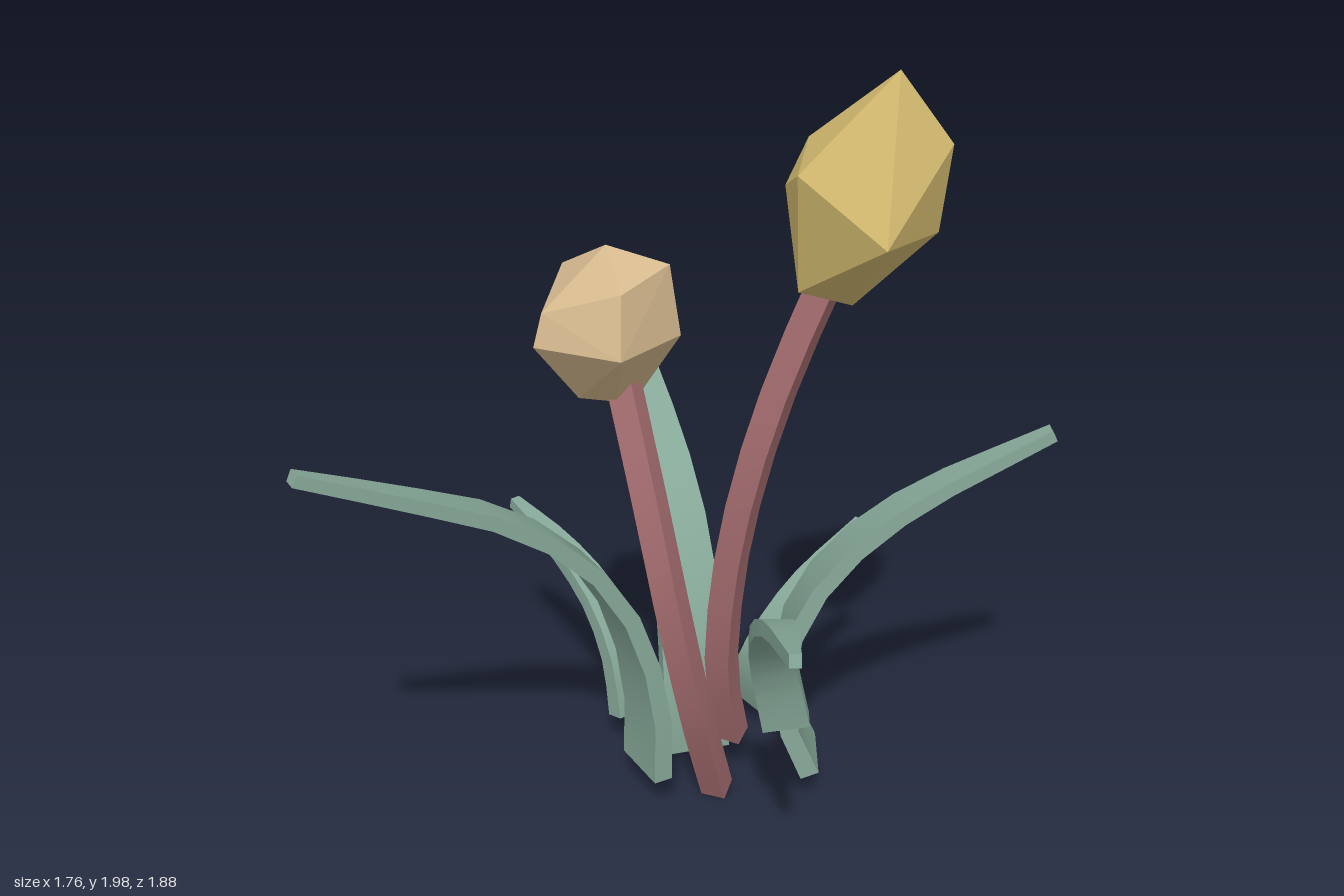
import * as THREE from 'three';
import { toCreasedNormals } from 'three/addons/utils/BufferGeometryUtils.js';
import { ConvexGeometry } from 'three/addons/geometries/ConvexGeometry.js';

const paint = (color) => new THREE.MeshStandardMaterial({ color });
const green = paint(0x86a898);
const red = paint(0xa86f72);
const vec = (p) => new THREE.Vector3(...p);

// Sweeps a rectangle along a curve; size(t) gives [width, thickness]
function strip(points, sideStart, sideEnd, size, steps = 9) {
  const curve = new THREE.CatmullRomCurve3(points.map(vec));
  const pos = [], index = [];
  for (let i = 0; i <= steps; i++) {
    const t = i / steps;
    const centre = curve.getPointAt(t), tangent = curve.getTangentAt(t);
    const side = vec(sideStart).normalize().lerp(vec(sideEnd).normalize(), t);
    side.addScaledVector(tangent, -side.dot(tangent)).normalize();
    const up = tangent.clone().cross(side);
    const [w, h] = size(t);
    for (const [a, b] of [[-1, -1], [1, -1], [1, 1], [-1, 1]]) {
      const p = centre.clone().addScaledVector(side, a * w / 2).addScaledVector(up, b * h / 2);
      pos.push(p.x, p.y, p.z);
    }
  }
  for (let i = 0; i < steps; i++) {
    for (let k = 0; k < 4; k++) {
      const a = i * 4 + k, b = i * 4 + (k + 1) % 4;
      index.push(a, b, b + 4, a, b + 4, a + 4);
    }
  }
  const e = steps * 4;
  index.push(0, 2, 1, 0, 3, 2, e, e + 1, e + 2, e, e + 2, e + 3);
  const geo = new THREE.BufferGeometry();
  geo.setAttribute('position', new THREE.Float32BufferAttribute(pos, 3));
  geo.setIndex(index);
  return toCreasedNormals(geo, 0.7);
}

function add(group, name, geometry, material) {
  const mesh = new THREE.Mesh(geometry, material);
  mesh.name = name;
  group.add(mesh);
}

// Leaves: centre line, base width, side direction at base and at tip
const leaves = [
  { name: 'backLeaf', width: 0.18, side: [-0.96, 0, 0.28],
    path: [[0, 0.04, -0.1], [0, 0.25, -0.1], [-0.015, 0.42, -0.15], [-0.04, 0.61, -0.25],
      [-0.085, 0.77, -0.4], [-0.15, 0.91, -0.62], [-0.24, 1.08, -0.93]] },
  { name: 'frontRightLeaf', width: 0.17, side: [0.5, 0, 0.86],
    path: [[-0.12, 0.11, 0.09], [-0.12, 0.3, 0.09], [-0.17, 0.55, 0.115], [-0.27, 0.75, 0.17],
      [-0.43, 0.91, 0.265], [-0.6, 1.01, 0.365], [-0.87, 1.15, 0.52]] },
  { name: 'backRightLeaf', width: 0.12, side: [-0.75, 0, 0.66],
    path: [[-0.17, 0.12, -0.155], [-0.19, 0.27, -0.18], [-0.25, 0.4, -0.25], [-0.36, 0.49, -0.38], [-0.51, 0.55, -0.55]] },
  { name: 'backLeftLeaf', width: 0.12, side: [-0.8, 0.25, -0.6], sideEnd: [-0.5, 0, -0.86],
    path: [[0.15, 0.1, -0.265], [0.165, 0.2, -0.21], [0.2, 0.32, -0.18], [0.29, 0.46, -0.23], [0.45, 0.595, -0.35]] },
  { name: 'leftLeaf', width: 0.18, side: [0, 0, -1],
    path: [[0.3, 0.1, 0.035], [0.245, 0.23, 0.035], [0.23, 0.36, 0.035], [0.25, 0.5, 0.035],
      [0.34, 0.67, 0.035], [0.52, 0.84, 0.035], [0.87, 1.04, 0.035]] },
  { name: 'frontLeaf', width: 0.115, side: [1, 0, 0],
    path: [[0.225, 0.4, 0.33], [0.195, 0.56, 0.36], [0.178, 0.7, 0.45], [0.18, 0.81, 0.57],
      [0.19, 0.88, 0.7], [0.21, 0.95, 0.935]] },
];

// Stems
const stems = [
  { name: 'tallStem', side: [1, 0, 0.5],
    path: [[0.1, 0.15, 0.0], [0.07, 0.4, 0.09], [0.09, 0.75, 0.165], [0.14, 1.03, 0.21], [0.21, 1.28, 0.235], [0.3, 1.53, 0.26]] },
  { name: 'shortStem', side: [1, 0, 0.4],
    path: [[0.06, 0.03, 0.075], [0.01, 0.32, 0.19], [-0.05, 0.66, 0.24], [-0.1, 0.92, 0.21], [-0.165, 1.21, 0.125]] },
];

// Faceted buds, each the hull of a few corners
const buds = [
  { name: 'tallBud', color: 0xd2b96f, corners: [
    [0.43, 2, 0.32], [0.55, 1.84, 0.315], [0.44, 1.86, 0.14], [0.39, 1.85, 0.39], [0.4, 1.67, 0.515],
    [0.22, 1.78, 0.35], [0.25, 1.82, 0.19], [0.2, 1.72, 0.22], [0.31, 1.7, 0.1], [0.53, 1.64, 0.3],
    [0.35, 1.47, 0.3], [0.23, 1.5, 0.3], [0.35, 1.48, 0.22], [0.25, 1.5, 0.21]] },
  { name: 'shortBud', color: 0xd8bb90, corners: [
    [-0.2, 1.55, 0.13], [-0.31, 1.46, 0.0], [-0.12, 1.45, -0.055], [-0.055, 1.5, 0.12], [-0.16, 1.48, 0.27],
    [-0.345, 1.41, 0.2], [-0.32, 1.33, 0.01], [-0.13, 1.33, -0.055], [-0.03, 1.33, 0.13], [-0.16, 1.34, 0.32],
    [-0.365, 1.33, 0.21], [-0.27, 1.16, 0.06], [-0.17, 1.16, 0.0], [-0.12, 1.17, 0.07], [-0.18, 1.17, 0.15], [-0.27, 1.17, 0.13]] },
];

export function createModel() {
  const group = new THREE.Group();
  group.name = 'flowerPlant';
  for (const { name, width, side, sideEnd = side, path } of leaves) {
    const size = (t) => [width * (1 - 0.77 * t ** 1.8), 0.05 - 0.02 * t];
    add(group, name, strip(path, side, sideEnd, size), green);
  }
  for (const { name, side, path } of stems) {
    add(group, name, strip(path, side, side, () => [0.065, 0.06]), red);
  }
  for (const { name, color, corners } of buds) {
    add(group, name, new ConvexGeometry(corners.map(vec)), paint(color));
  }
  return group;
}
